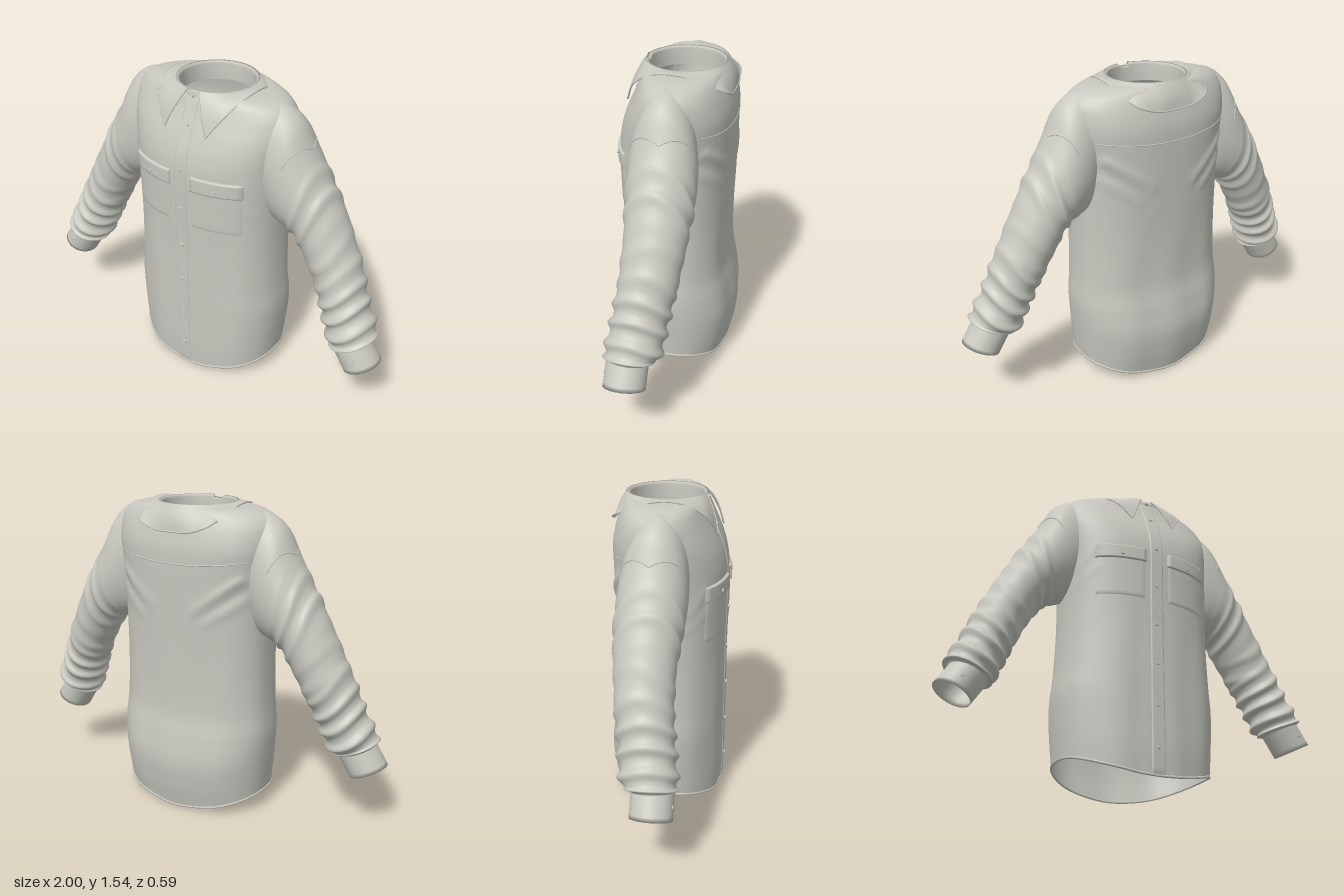
import * as THREE from 'three';

const cloth = new THREE.MeshStandardMaterial({ color: 0xc8c8c0, side: THREE.DoubleSide });
cloth.name = 'warm grey cloth';

const V = (x, y, z) => new THREE.Vector3(x, y, z);
const smooth = THREE.MathUtils.smoothstep;
const spline = pts => new THREE.CatmullRomCurve3(pts.map(p => V(...p)), false, 'catmullrom', 0.5);

// Smooth sheet from a function of u and v (both 0..1); wrap joins u = 1 to u = 0
function sheet(name, fn, nu, nv, wrap = false, flip = false) {
  const pos = [], idx = [], cols = wrap ? nu : nu + 1;
  for (let j = 0; j <= nv; j++)
    for (let i = 0; i < cols; i++) pos.push(...fn(i / nu, j / nv).toArray());
  for (let j = 0; j < nv; j++)
    for (let i = 0; i < nu; i++) {
      const a = j * cols + i, b = j * cols + (i + 1) % cols, c = a + cols, d = b + cols;
      if (flip) idx.push(a, c, b, b, c, d);
      else idx.push(a, b, c, b, d, c);
    }
  const g = new THREE.BufferGeometry();
  g.setAttribute('position', new THREE.Float32BufferAttribute(pos, 3));
  g.setIndex(idx);
  g.computeVertexNormals();
  const m = new THREE.Mesh(g, cloth);
  m.name = name;
  return m;
}

function piping(name, pts, r, closed = false) {
  const curve = new THREE.CatmullRomCurve3(pts, closed);
  const m = new THREE.Mesh(new THREE.TubeGeometry(curve, pts.length * 2, r, 6, closed), cloth);
  m.name = name;
  return m;
}

function button(p, dir, r = 0.011) {
  const m = new THREE.Mesh(new THREE.CylinderGeometry(r * 0.85, r, 0.008, 16), cloth);
  m.position.copy(p);
  m.quaternion.setFromUnitVectors(V(0, 1, 0), dir.clone().normalize());
  m.name = 'button';
  return m;
}

// Torso rows: height, half width, front depth, back depth
const rows = [
  [0, 0.387, 0.275, 0.25], [0.12, 0.396, 0.28, 0.276], [0.25, 0.405, 0.28, 0.29],
  [0.38, 0.409, 0.28, 0.275], [0.52, 0.4, 0.28, 0.252], [0.75, 0.392, 0.28, 0.25],
  [0.95, 0.393, 0.283, 0.255], [1.15, 0.4, 0.284, 0.26], [1.25, 0.41, 0.27, 0.262],
  [1.33, 0.422, 0.243, 0.26], [1.4, 0.428, 0.212, 0.248], [1.45, 0.418, 0.192, 0.235],
  [1.49, 0.38, 0.178, 0.222], [1.515, 0.3, 0.168, 0.212], [1.522, 0.19, 0.158, 0.2],
];
const widths = spline(rows.map(r => [r[1], r[0], 0]));
const depths = spline(rows.map(r => [r[2], r[0], r[3]]));

// Ridge of cloth along a line, fading across it
function crease(x, y, x0, y0, x1, y1, w) {
  const dx = x1 - x0, dy = y1 - y0;
  const t = ((x - x0) * dx + (y - y0) * dy) / (dx * dx + dy * dy);
  const k = THREE.MathUtils.clamp(t, 0, 1);
  const d = Math.hypot(x - x0 - k * dx, y - y0 - k * dy);
  return Math.exp(-d * d / (w * w)) * (1 - 0.6 * k);
}
function folds(x, y, front) {
  const ax = Math.abs(x), low = 1 - smooth(y, 0.6, 0.95);
  if (front) return low * 0.004 * Math.sin(x * 26) * smooth(ax, 0.04, 0.12)
    + 0.01 * crease(ax, y, 0.37, 1.03, 0.3, 1.15, 0.018) + 0.008 * crease(ax, y, 0.37, 0.96, 0.29, 1.03, 0.018);
  return low * 0.004 * Math.cos(x * 24)
    + 0.016 * crease(ax, y, 0.33, 1.2, 0.12, 1.04, 0.022) + 0.013 * crease(ax, y, 0.35, 1.1, 0.18, 0.99, 0.02)
    - 0.008 * crease(ax, y, 0.34, 1.15, 0.16, 1.02, 0.018);
}
function section(t) {
  const a = widths.getPoint(t), b = depths.getPoint(t);
  return { hw: a.x, y: a.y, zf: b.x, zb: b.z, n: 2.4 - 0.4 * smooth(a.y, 1.3, 1.52) };
}
function torsoZ(s, x, y, front) {
  const c = Math.min(1, Math.abs(x) / s.hw), k = Math.pow(1 - Math.pow(c, s.n), 1 / s.n);
  return (front ? 1 : -1) * k * ((front ? s.zf : s.zb) + folds(x, y, front));
}
function torsoPoint(u, t) {
  const s = section(t), a = u * Math.PI * 2, c = Math.cos(a);
  const x = s.hw * Math.sign(c) * Math.pow(Math.abs(c), 2 / s.n);
  const hem = 0.085 * (x / s.hw) ** 2 * Math.max(0, 1 - s.y / 0.6);
  return V(x, s.y + hem, torsoZ(s, x, s.y, Math.sin(a) >= 0));
}
// Point lying on the front or back of the torso, lifted by off
function onTorso(x, y, off = 0, front = true) {
  let lo = 0, hi = 1;
  for (let i = 0; i < 24; i++) {
    const m = (lo + hi) / 2;
    if (widths.getPoint(m).y < y) lo = m; else hi = m;
  }
  return V(x, y, torsoZ(section(lo), x, y, front) + (front ? off : -off));
}
// Thin padded plate over the chest, with its rim sunk into the cloth
function patch(name, x0, x1, y0, y1, off, nv = 16) {
  const ex = 0.004 / (x1 - x0), ey = 0.004 / (y1 - y0), nu = 16;
  const place = (k, n, e) => k <= 0 ? 0 : k >= n ? 1 : e + (1 - 2 * e) * (k - 1) / (n - 2);
  return sheet(name, (u, v) => {
    const i = Math.round(u * nu), j = Math.round(v * nv);
    const rim = i === 0 || j === 0 || i === nu || j === nv;
    return onTorso(x0 + (x1 - x0) * place(i, nu, ex), y0 + (y1 - y0) * place(j, nv, ey), rim ? -0.002 : off);
  }, nu, nv);
}

// Sleeve stations: outer x, y, inner x, y, centre z, half depth
const arm = [
  [0.29, 1.5, 0.27, 1.05, 0, 0.12], [0.38, 1.497, 0.32, 0.98, 0, 0.142], [0.467, 1.435, 0.36, 0.925, -0.004, 0.156],
  [0.53, 1.315, 0.42, 0.9, -0.008, 0.16], [0.6, 1.195, 0.475, 0.875, -0.01, 0.155], [0.67, 1.075, 0.525, 0.81, -0.012, 0.147],
  [0.735, 0.95, 0.57, 0.73, -0.008, 0.139], [0.795, 0.83, 0.61, 0.65, 0, 0.135], [0.85, 0.7, 0.652, 0.565, 0.015, 0.131],
  [0.895, 0.585, 0.69, 0.48, 0.03, 0.13], [0.95, 0.475, 0.73, 0.39, 0.045, 0.127], [0.935, 0.425, 0.765, 0.365, 0.062, 0.095],
];
const armOut = spline(arm.map(s => [s[0], s[1], s[4]]));
const armIn = spline(arm.map(s => [s[2], s[3], s[5]]));
function armPoint(side, t, a, lift = 0) {
  const o = armOut.getPoint(t), n = armIn.getPoint(t);
  const hx = (o.x - n.x) / 2, hy = (o.y - n.y) / 2, c = Math.cos(a), s = Math.sin(a);
  // rolling wrinkles, deepest near the wrist, with a few at the upper arm
  const wave = (f, tilt) => Math.pow(0.5 + 0.5 * Math.sin(f * t + tilt * Math.sin(a + 0.7) + 0.8 * Math.cos(2 * a)), 1.6) - 0.4;
  const wrist = smooth(t, 0.58, 0.78) * (1 - smooth(t, 0.93, 1));
  const upper = Math.exp(-(((t - 0.4) / 0.07) ** 2)), elbow = Math.exp(-(((t - 0.6) / 0.06) ** 2));
  const d = 1 + (lift + wrist * 0.02 * wave(88, 1.3) + upper * 0.012 * wave(75, 1.5) + elbow * 0.008 * wave(60, -1.5)) / 0.13;
  return V(side * ((o.x + n.x) / 2 + hx * c * d), (o.y + n.y) / 2 + hy * c * d, o.z + n.z * s * d);
}
// Cuff wall: v runs down the outside, round the lip and back up the inside
function cuffPoint(side, u, v) {
  const k = v < 0.5 ? v * 2 : (1 - v) * 2, r = v <= 0.5 ? 1 : 0.92, a = u * Math.PI * 2;
  const c = Math.cos(a) * r;
  return V(side * (0.848 + 0.067 * k + 0.085 * c), 0.405 - 0.105 * k + 0.04 * c, 0.064 + 0.002 * k + 0.097 * r * Math.sin(a));
}

// Collar leaf: from the neck's top edge down to points at the front
const halfEdge = [[0.115, 1.35, 0.244], [0.185, 1.455, 0.192], [0.232, 1.522, 0.085], [0.24, 1.524, -0.05],
  [0.2, 1.455, -0.226], [0.1, 1.415, -0.254]];
const leafEdge = spline([...halfEdge, [0, 1.41, -0.257], ...halfEdge.map(([x, y, z]) => [-x, y, z]).reverse()]);
function leafPoint(u, v) {
  const p = 0.16 + u * (Math.PI * 2 - 0.32);
  const top = V(0.197 * Math.sin(p), 1.532, -0.017 + 0.195 * Math.cos(p));
  const bulge = 0.01 * Math.sin(Math.PI * v);
  return top.lerp(leafEdge.getPoint(u), v).add(V(bulge * Math.sin(p), bulge * 0.3, bulge * Math.cos(p)));
}

export function createModel() {
  const shirt = new THREE.Group();
  shirt.name = 'shirt';
  const steps = (n, f) => Array.from({ length: n + 1 }, (_, i) => f(i / n));

  shirt.add(sheet('torso', torsoPoint, 144, 110, true, true));
  shirt.add(piping('hem', steps(79, k => torsoPoint(k * 79 / 80, 0)), 0.006, true));

  // Collar with its inner band
  const band = [[0.178, 1.44], [0.178, 1.52], [0.186, 1.531], [0.197, 1.532], [0.197, 1.5]];
  shirt.add(sheet('neckBand', (u, v) => {
    const [r, y] = band[Math.round(v * 4)], a = u * Math.PI * 2;
    return V(r * Math.sin(a), y - (Math.cos(a) > 0.985 ? 0.012 : 0), -0.017 + r * 0.98 * Math.cos(a));
  }, 72, 4, true));
  shirt.add(sheet('collar', leafPoint, 96, 10, false, true));
  shirt.add(piping('collarEdge', steps(60, k => leafPoint(k, 1)), 0.004));
  for (const u of [0, 1]) shirt.add(piping('collarFrontEdge', steps(6, k => leafPoint(u, k)), 0.004));

  // Buttoned front strip
  shirt.add(patch('placket', -0.036, 0.036, 0.004, 1.5, 0.004, 60));
  for (const y of [0.13, 0.335, 0.545, 0.75, 0.96, 1.17, 1.38])
    shirt.add(button(onTorso(0, y, 0.006), V(0, y > 1.3 ? 0.4 : 0, 1)));
  shirt.add(button(V(0, 1.507, 0.184), V(0, 0.2, 1)));

  // Yoke seam across the back
  shirt.add(piping('yokeSeam', steps(24, k => {
    const x = -0.36 + 0.72 * k;
    return onTorso(x, 1.29 - 0.03 * Math.cos(x * 4), 0, false);
  }), 0.003));

  for (const side of [1, -1]) {
    const name = side > 0 ? 'left' : 'right';
    shirt.add(sheet(name + 'Sleeve', (u, v) => armPoint(side, v, u * Math.PI * 2), 72, 150, true, side < 0));
    shirt.add(sheet(name + 'Cuff', (u, v) => cuffPoint(side, u, v), 48, 12, true, side < 0));
    shirt.add(button(cuffPoint(side, 0.22, 0.25), V(side * 0.15, 0.1, 1), 0.01));
    shirt.add(piping(name + 'ShoulderSeam', steps(20, k => {
      const a = -1.2 + 2.4 * k;
      return armPoint(side, (3 - 0.75 * Math.abs(Math.sin(a))) / 11, a);
    }), 0.003));

    // Chest pocket with buttoned flap
    const [x0, x1] = side > 0 ? [0.065, 0.3] : [-0.3, -0.065];
    shirt.add(patch(name + 'Pocket', x0, x1, 0.878, 1.12, 0.004));
    shirt.add(patch(name + 'PocketFlap', x0 - 0.005, x1 + 0.005, 1.078, 1.155, 0.013));
    shirt.add(button(onTorso(side * 0.185, 1.105, 0.015), V(side * 0.2, 0, 1)));
  }
  return shirt;
}
